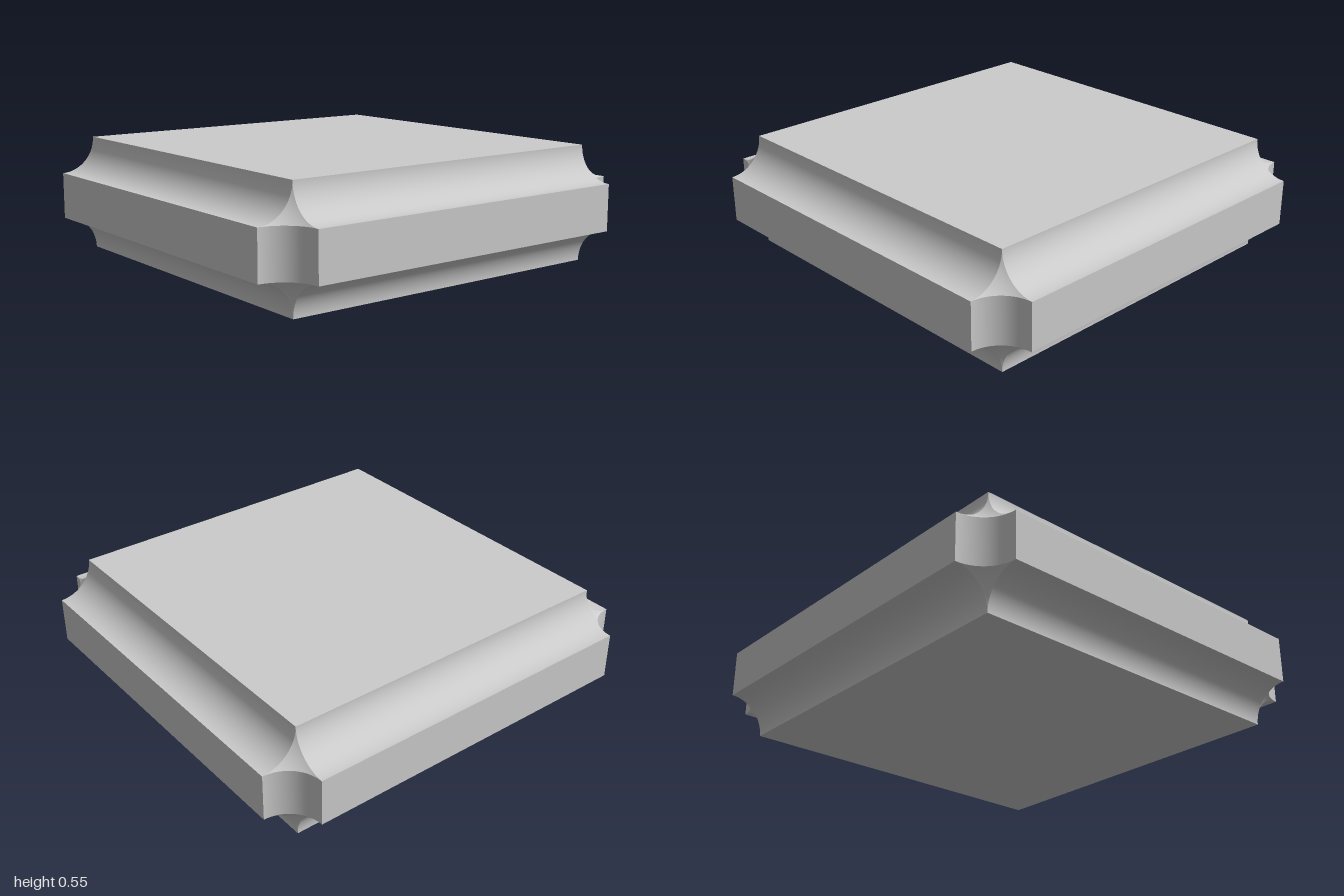
import * as THREE from 'three';

const R = 0.165;            // radius of the cove cut along every edge
const HALF = 1 - R;         // half width of the flat faces
const HEIGHT = 0.551;
const MID = HEIGHT / 2 - R; // half height of the side faces
const N = 20;               // steps along each quarter arc

// Bends a unit plane: point(u, v) gives the position, normals point to centre(p)
function bend(nu, nv, point, centre) {
  const geo = new THREE.PlaneGeometry(1, 1, nu, nv);
  const pos = geo.attributes.position;
  for (let i = 0; i < pos.count; i++) {
    const p = point(pos.getX(i) + 0.5, pos.getY(i) + 0.5);
    const n = centre(p).sub(p).normalize();
    pos.setXYZ(i, p.x, p.y, p.z);
    geo.attributes.normal.setXYZ(i, n.x, n.y, n.z);
  }
  return geo;
}

// Hollow quarter-round along x, on the upper front edge of a core of half size (y, z)
function coveGeometry(length, y, z) {
  return bend(1, N, (u, v) => {
    const t = v * Math.PI / 2;
    return new THREE.Vector3((u - 0.5) * length, y + R * (1 - Math.cos(t)), z + R * (1 - Math.sin(t)));
  }, p => new THREE.Vector3(p.x, y + R, z + R));
}

// Three-pointed hollow where three coves meet: a sphere of radius R * sqrt(2)
function cornerGeometry() {
  const c = new THREE.Vector3(HALF + R, MID + R, HALF + R);
  return bend(N, N, (u, v) => {
    const t = v * Math.PI / 2;
    const rho = Math.sqrt(1 + Math.sin(t) ** 2);
    const start = Math.acos(Math.min(1, 1 / rho));
    const phi = start + u * (Math.PI / 2 - 2 * start);
    return new THREE.Vector3(-rho * Math.cos(phi), -Math.cos(t), -rho * Math.sin(phi))
      .multiplyScalar(R).add(c);
  }, () => c.clone());
}

export function createModel() {
  const model = new THREE.Group();
  model.name = 'covedSlab';
  const body = new THREE.Group();
  body.name = 'slabBody';
  body.position.y = HEIGHT / 2;
  model.add(body);
  const material = new THREE.MeshStandardMaterial({ color: 0xcccccc });

  const add = (name, geo, turn = 0) => {
    const mesh = new THREE.Mesh(geo, material);
    mesh.name = name;
    mesh.rotation.y = turn * Math.PI / 2;
    body.add(mesh);
  };

  // Flat top and bottom
  const flat = () => new THREE.PlaneGeometry(2 * HALF, 2 * HALF);
  add('topFace', flat().rotateX(-Math.PI / 2).translate(0, HEIGHT / 2, 0));
  add('bottomFace', flat().rotateX(Math.PI / 2).translate(0, -HEIGHT / 2, 0));

  // Parts repeated around the four sides
  const side = new THREE.PlaneGeometry(2 * HALF, 2 * MID).translate(0, 0, 1);
  const topCove = coveGeometry(2 * HALF, MID, HALF);
  const bottomCove = topCove.clone().rotateZ(Math.PI);
  const uprightCove = coveGeometry(2 * MID, HALF, HALF).rotateZ(Math.PI / 2);
  const topCorner = cornerGeometry();
  const bottomCorner = topCorner.clone().rotateZ(Math.PI);
  for (let k = 0; k < 4; k++) {
    add('sideFace', side, k);
    add('topCove', topCove, k);
    add('bottomCove', bottomCove, k);
    add('uprightCove', uprightCove, k);
    add('topCorner', topCorner, k);
    add('bottomCorner', bottomCorner, k);
  }
  return model;
}
